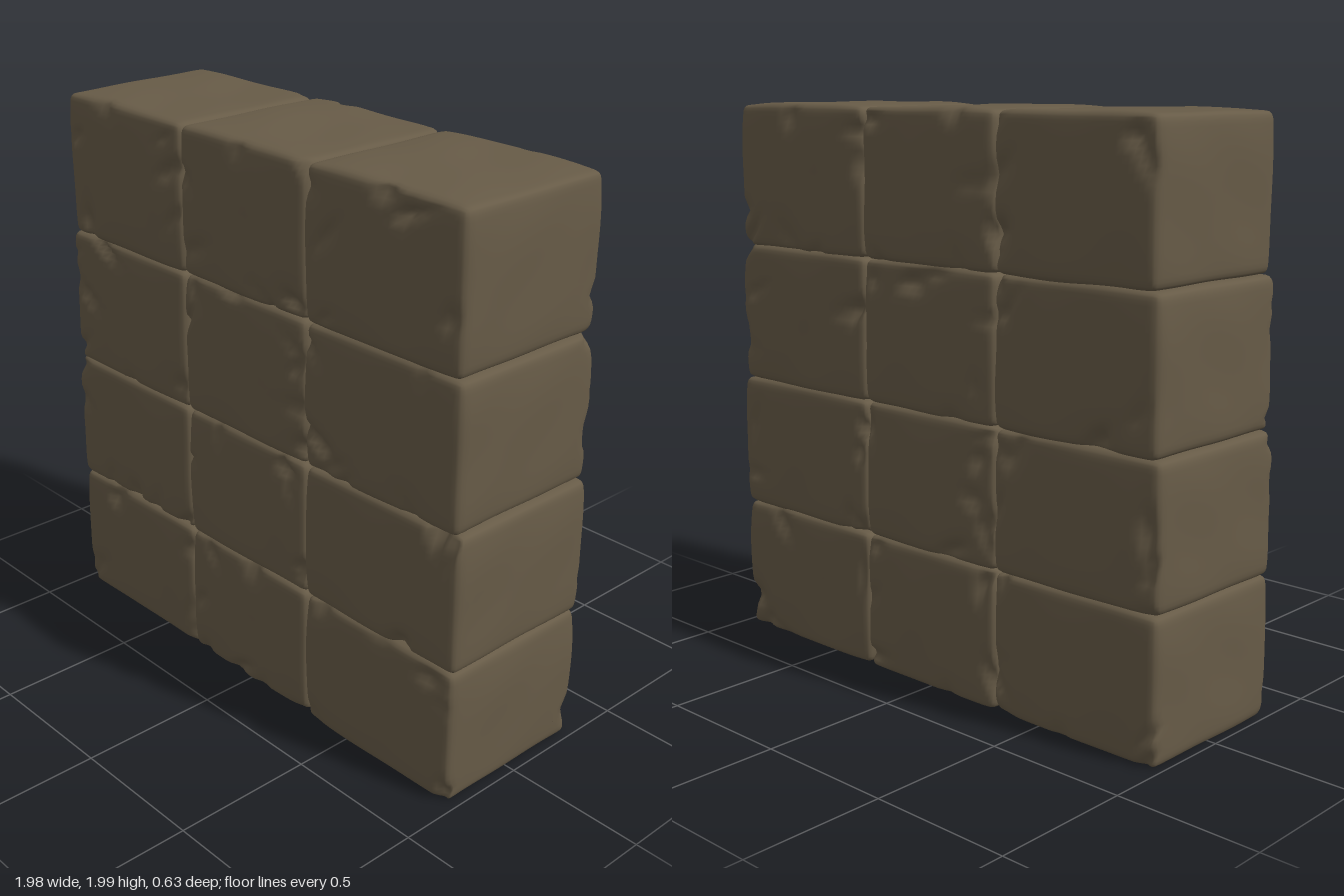
import * as THREE from 'three';
import { mergeVertices } from 'three/addons/utils/BufferGeometryUtils.js';

// Joint lines of the wall and the half width of each course
const COLUMNS = [-0.31, 0.302];
const ROWS = [0, 0.489, 0.972, 1.473, 1.985];
const OUTER = [[-0.98, 0.975], [-0.98, 0.98], [-0.965, 0.968], [-0.947, 0.958]];
const DEPTH = 0.3, ROUND = 0.024, GAP = 0.003;

function seeded(seed) {
  let s = seed;
  return () => {
    s = (s * 1664525 + 1013904223) % 4294967296;
    return s / 4294967296;
  };
}

// Smooth bumpy field used for the worn surface
function bump(x, y, z) {
  return Math.sin(7 * x + 3 * y + 1) * Math.sin(6 * y - 4 * z + 2) * 0.6
    + Math.sin(15 * x - 9 * z) * Math.sin(17 * y + 8 * z + x) * 0.4;
}

// Chips sit close to the joints on the front and back faces
function makeChips(half, random) {
  const chips = [];
  for (let i = 0; i < 14; i++) {
    const along = random() * 2 - 1;
    const inset = 1 - random() ** 2 * 0.3;
    const side = random() < 0.5 ? -1 : 1;
    const upright = random() < 0.5;
    chips.push({
      x: half.x * (upright ? side * inset : along),
      y: half.y * (upright ? along : side * inset),
      face: i % 2 ? 1 : -1,
      angle: random() * Math.PI,
      long: 0.03 + random() * 0.05,
      wide: 0.014 + random() * 0.016,
      deep: 0.01 + random() * 0.02,
    });
  }
  return chips;
}

function stoneBlock(x0, x1, y0, y1, seed) {
  const half = new THREE.Vector3((x1 - x0) / 2 - GAP, (y1 - y0) / 2 - GAP, DEPTH);
  const centre = new THREE.Vector3((x0 + x1) / 2, (y0 + y1) / 2, 0);
  const chips = makeChips(half, seeded(seed));
  let geometry = new THREE.BoxGeometry(2, 2, 2, 28, 24, 20);
  geometry.deleteAttribute('uv');
  geometry.deleteAttribute('normal');
  geometry = mergeVertices(geometry, 1e-4);
  const pos = geometry.attributes.position;
  const limit = half.clone().subScalar(ROUND);
  const p = new THREE.Vector3(), inner = new THREE.Vector3(), n = new THREE.Vector3();
  const crowd = (u) => 0.45 * u + 0.55 * Math.sin(u * Math.PI / 2);
  for (let i = 0; i < pos.count; i++) {
    // Rounded box with its rings gathered towards the edges
    p.fromBufferAttribute(pos, i);
    p.set(crowd(p.x), crowd(p.y), crowd(p.z));
    const u = p.clone();
    p.multiply(half);
    inner.copy(p).clamp(limit.clone().negate(), limit);
    n.copy(p).sub(inner).normalize();
    p.copy(inner).addScaledVector(n, ROUND);

    // Pillowed faces with worn undulation
    const pillow = (1 - u.x ** 4 * n.y ** 2) * (1 - u.y ** 4 * (1 - n.y ** 2));
    const w = p.clone().add(centre);
    const wear = 0.008 * pillow + 0.005 * bump(w.x + seed, w.y, w.z);
    p.addScaledVector(n, wear);

    // Chips pressed into front and back
    for (const c of chips) {
      if (p.z * c.face < DEPTH - 0.06) continue;
      const dx = p.x - c.x, dy = p.y - c.y;
      const a = (dx * Math.cos(c.angle) + dy * Math.sin(c.angle)) / c.long;
      const b = (dy * Math.cos(c.angle) - dx * Math.sin(c.angle)) / c.wide;
      p.z -= c.face * c.deep * Math.exp(-a * a - b * b);
    }
    p.add(centre);
    pos.setXYZ(i, p.x, THREE.MathUtils.clamp(p.y, 0, 2), p.z);
  }
  geometry.computeVertexNormals();
  return geometry;
}

export function createModel() {
  const wall = new THREE.Group();
  wall.name = 'stoneWall';
  const stone = new THREE.MeshStandardMaterial({ color: 0x675b47 });
  stone.name = 'brown stone';

  // Four courses of three stacked blocks
  for (let row = 0; row < 4; row++) {
    const course = new THREE.Group();
    course.name = `course${row + 1}`;
    const xs = [OUTER[row][0], ...COLUMNS, OUTER[row][1]];
    for (let col = 0; col < 3; col++) {
      const geometry = stoneBlock(xs[col], xs[col + 1], ROWS[row], ROWS[row + 1], row * 3 + col + 11);
      const block = new THREE.Mesh(geometry, stone);
      block.name = `stoneBlock${col + 1}`;
      course.add(block);
    }
    wall.add(course);
  }
  return wall;
}
